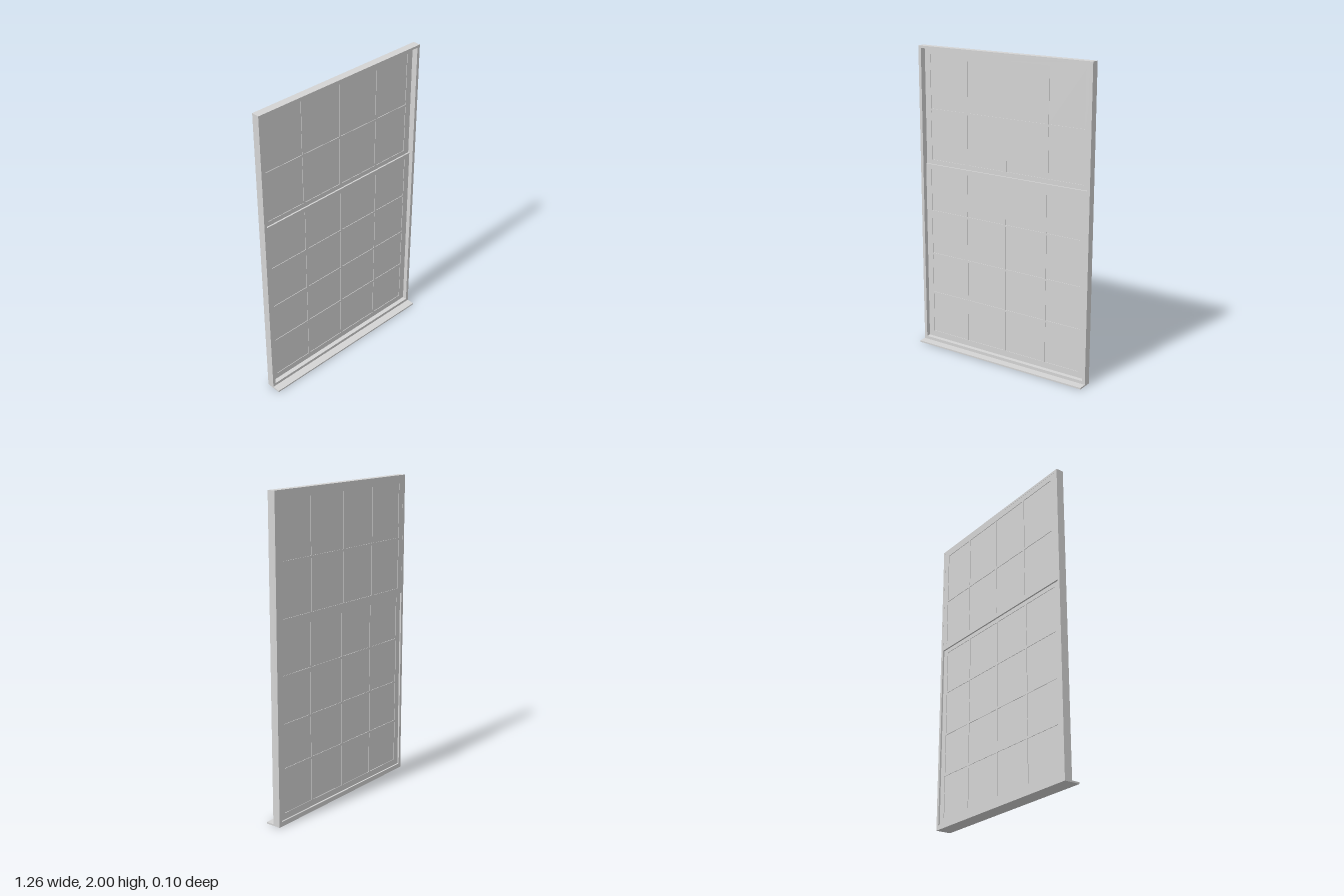
import * as THREE from 'three';

const paint = new THREE.MeshStandardMaterial({ color: 0xd4d4d4 });
paint.name = 'pale grey paint';

function rectPath(PathType, x0, y0, x1, y1) {
  const p = new PathType();
  p.moveTo(x0, y0);
  p.lineTo(x1, y0);
  p.lineTo(x1, y1);
  p.lineTo(x0, y1);
  p.closePath();
  return p;
}

// Flat rectangular panel with rectangular openings, spanning zBack to zFront
function panel(name, outer, openings, zBack, zFront) {
  const shape = rectPath(THREE.Shape, ...outer);
  for (const o of openings) shape.holes.push(rectPath(THREE.Path, ...o));
  const geometry = new THREE.ExtrudeGeometry(shape, { depth: zFront - zBack, bevelEnabled: false });
  geometry.translate(0, 0, zBack);
  const mesh = new THREE.Mesh(geometry, paint);
  mesh.name = name;
  return mesh;
}

function box(name, x0, y0, z0, x1, y1, z1) {
  const mesh = new THREE.Mesh(new THREE.BoxGeometry(x1 - x0, y1 - y0, z1 - z0), paint);
  mesh.position.set((x0 + x1) / 2, (y0 + y1) / 2, (z0 + z1) / 2);
  mesh.name = name;
  return mesh;
}

// Sash: a lattice of rails and glazing bars around slightly recessed glass
function sash(name, y0, y1, columns, rows, zBack, zFront) {
  const group = new THREE.Group();
  group.name = name;
  const bar = 0.007; // half width of a glazing bar
  const openings = [];
  for (let i = 0; i < columns.length - 1; i++) {
    for (let j = 0; j < rows.length - 1; j++) {
      openings.push([
        columns[i] + (i > 0 ? bar : 0),
        rows[j] + (j > 0 ? bar : 0),
        columns[i + 1] - (i < columns.length - 2 ? bar : 0),
        rows[j + 1] - (j < rows.length - 2 ? bar : 0),
      ]);
    }
  }
  group.add(panel(name + 'Lattice', [-0.61, y0, 0.61, y1], openings, zBack, zFront));
  const inset = 0.0035;
  for (const [a, b, c, d] of openings) {
    group.add(box('pane', a, b, zBack + inset, c, d, zFront - inset));
  }
  return group;
}

export function createModel() {
  const model = new THREE.Group();
  model.name = 'sashWindow';

  // Outer frame and projecting sill
  model.add(panel('frame', [-0.63, 0, 0.63, 2], [[-0.61, 0.03, 0.61, 1.985]], -0.05, 0));
  model.add(box('sill', -0.63, 0, 0, 0.63, 0.01, 0.052));

  // Upper sash sits at the back, lower sash in front of it, both deep in the frame
  const columns = [-0.568, -0.287, 0.007, 0.31, 0.567];
  model.add(sash('upperSash', 1.23, 1.985, columns, [1.265, 1.592, 1.947], -0.0495, -0.039));
  model.add(sash('lowerSash', 0.03, 1.235, columns, [0.07, 0.347, 0.623, 0.918, 1.203], -0.039, -0.029));

  return model;
}
